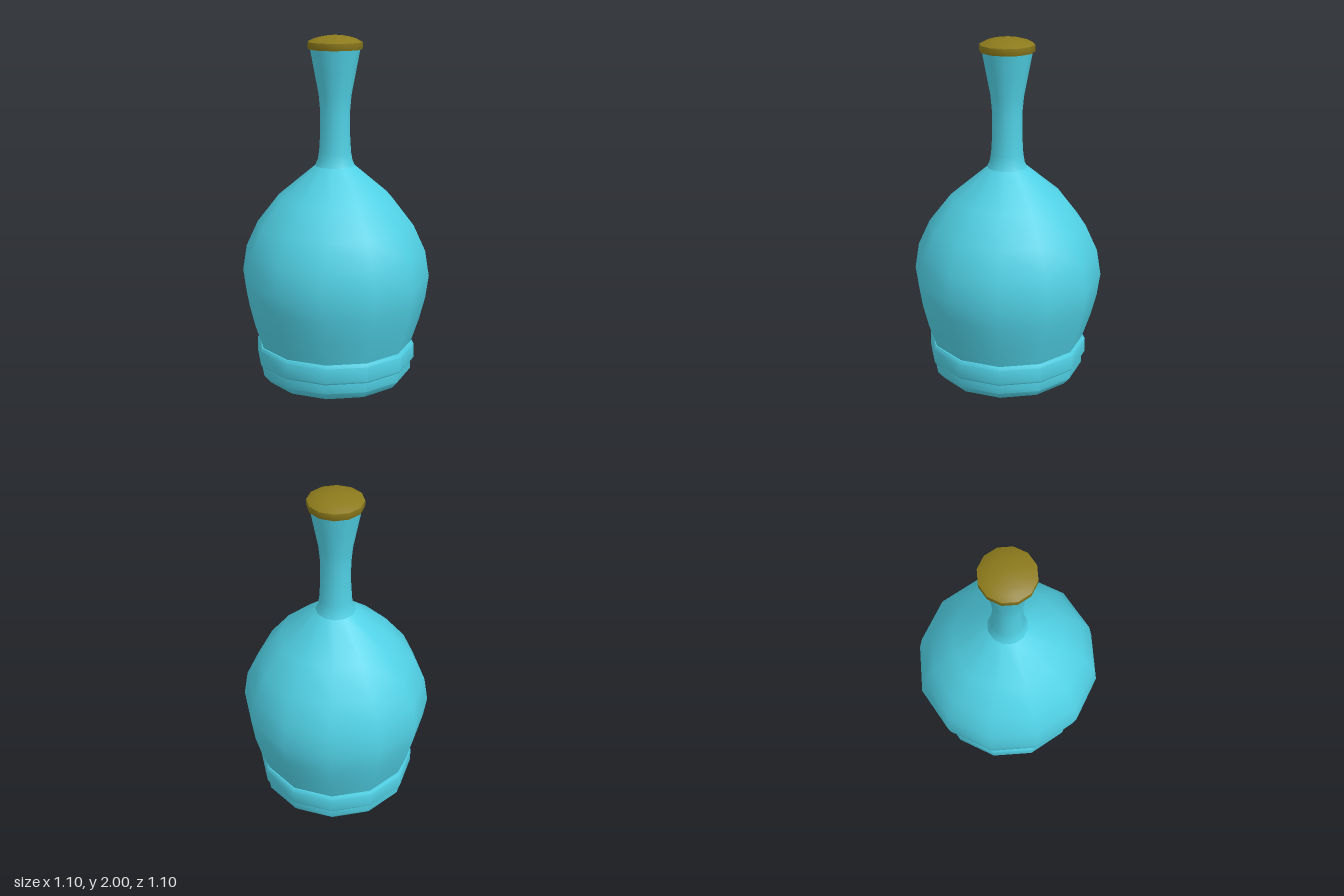
import * as THREE from 'three';
import { toCreasedNormals } from 'three/addons/utils/BufferGeometryUtils.js';

const SIDES = 12;

// Twelve-sided turned part from [radius, height] points, bottom to top
function turned(name, profile, material, crease) {
  const points = profile.map(([r, y]) => new THREE.Vector2(r, y));
  let geometry = new THREE.LatheGeometry(points, SIDES);
  if (crease) geometry = toCreasedNormals(geometry, crease);
  const mesh = new THREE.Mesh(geometry, material);
  mesh.name = name;
  return mesh;
}

export function createModel() {
  const glass = new THREE.MeshStandardMaterial({ color: 0x50d0e4 });
  const stopperMaterial = new THREE.MeshStandardMaterial({ color: 0x8c7a1c });
  const crease = THREE.MathUtils.degToRad(40);
  const bottle = new THREE.Group();
  bottle.name = 'bottle';

  // Foot with a chamfered lower edge
  bottle.add(turned('foot', [
    [0, 0], [0.41, 0], [0.448, 0.045], [0.448, 0.105],
  ], glass, crease));

  // Raised band around the bottom of the bulb
  bottle.add(turned('baseBand', [
    [0.44, 0.105], [0.461, 0.105], [0.467, 0.115], [0.467, 0.2], [0.457, 0.218], [0.44, 0.218],
  ], glass, crease));

  // Rounded bulb
  bottle.add(turned('bulb', [
    [0.445, 0.2], [0.45, 0.218], [0.497, 0.36], [0.53, 0.49], [0.548, 0.62],
    [0.524, 0.77], [0.455, 0.92], [0.327, 1.085], [0.115, 1.262],
  ], glass));

  // Slender neck flaring towards the mouth
  bottle.add(turned('neck', [
    [0.115, 1.262], [0.1, 1.295], [0.092, 1.34], [0.086, 1.44], [0.085, 1.57],
    [0.094, 1.67], [0.117, 1.79], [0.142, 1.922],
  ], glass));

  // Domed stopper
  bottle.add(turned('stopper', [
    [0, 1.922], [0.153, 1.922], [0.155, 1.926], [0.155, 1.962],
    [0.123, 1.979], [0.085, 1.99], [0.045, 1.997], [0, 2],
  ], stopperMaterial, crease));

  return bottle;
}
